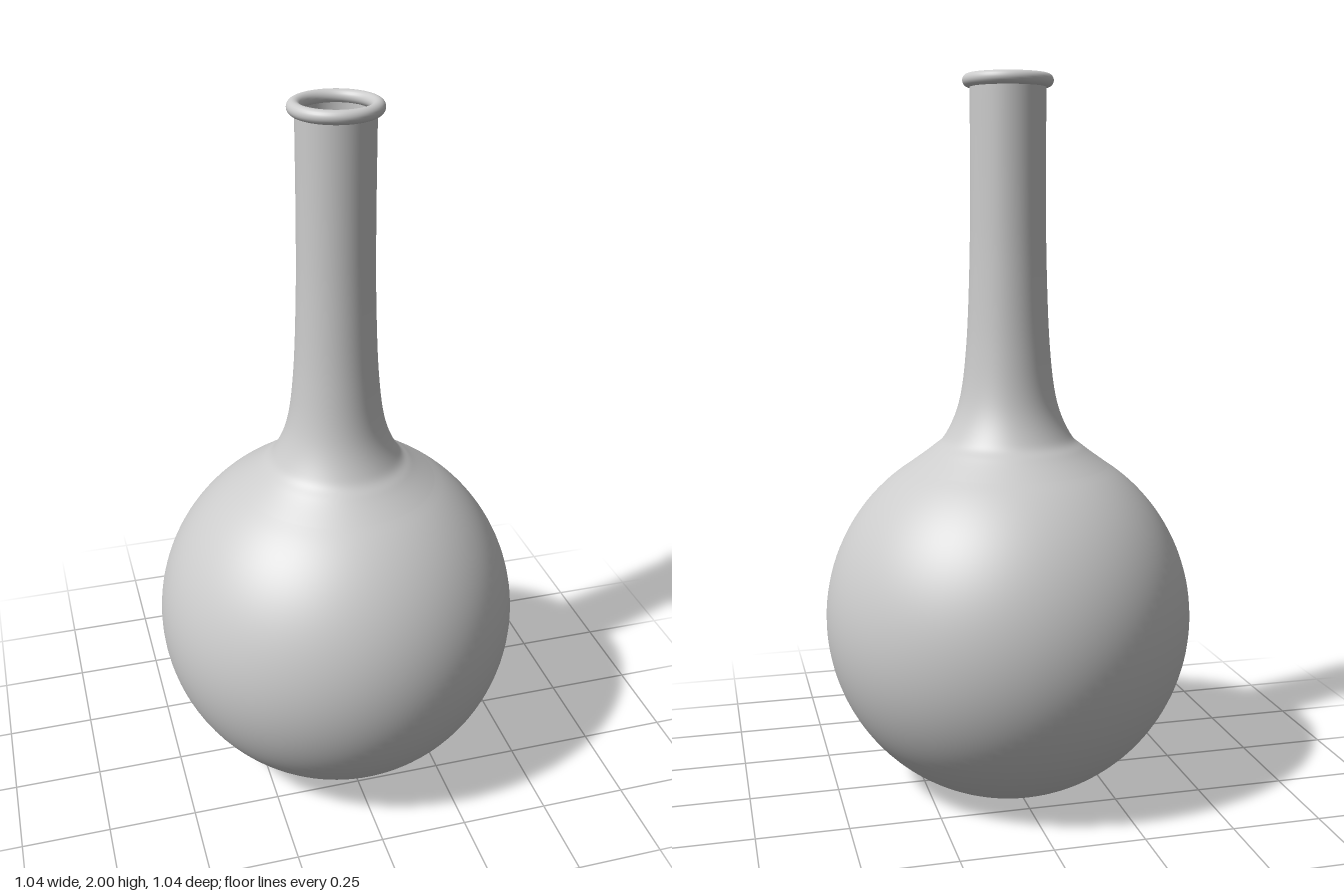
import * as THREE from 'three';

const SEGMENTS = 96;
const BULB_Y = 0.49;
const BULB_R = 0.52;
const WALL = 0.016;

const v = (x, y) => new THREE.Vector2(x, y);

// Round bulb: an arc from its cut bottom up to the shoulder
function bulbArc(radius, yStart, shoulderAngle, steps = 48) {
  const start = Math.asin((yStart - BULB_Y) / radius);
  return Array.from({ length: steps + 1 }, (_, i) => {
    const a = start + (shoulderAngle - start) * (i / steps);
    return v(radius * Math.cos(a), BULB_Y + radius * Math.sin(a));
  });
}

// Shoulder sweeping into the neck; inset moves the curve inwards for the inner wall
function neckCurve(from, inset) {
  const points = [[0.176, 1.015], [0.137, 1.11], [0.117, 1.26], [0.107, 1.48], [0.104, 1.7], [0.104, 1.97]];
  const curve = new THREE.SplineCurve([
    from,
    v(0.217 - inset * 0.6, 0.975 - inset * 0.7),
    ...points.map(([x, y]) => v(x - inset, y)),
  ]);
  return curve.getPoints(64).slice(1);
}

function wallProfile(inset) {
  const arc = bulbArc(BULB_R - inset, inset, THREE.MathUtils.degToRad(57));
  return [...arc, ...neckCurve(arc[arc.length - 1], inset)];
}

export function createModel() {
  const group = new THREE.Group();
  group.name = 'roundFlask';
  const material = new THREE.MeshStandardMaterial({ color: 0xcccccc, side: THREE.DoubleSide });

  const add = (name, geometry) => {
    const mesh = new THREE.Mesh(geometry, material);
    mesh.name = name;
    group.add(mesh);
    return mesh;
  };

  // Outer and inner walls of the bulb and neck
  const outer = wallProfile(0);
  const inner = wallProfile(WALL);
  add('outerWall', new THREE.LatheGeometry(outer, SEGMENTS));
  add('innerWall', new THREE.LatheGeometry(inner.slice().reverse(), SEGMENTS));

  // Flat foot and inner floor
  const foot = add('foot', new THREE.CircleGeometry(outer[0].x, SEGMENTS));
  foot.rotation.x = Math.PI / 2;
  const floor = add('innerFloor', new THREE.CircleGeometry(inner[0].x, SEGMENTS));
  floor.rotation.x = -Math.PI / 2;
  floor.position.y = WALL;

  // Rounded lip around the mouth
  const lip = new THREE.Path();
  lip.absarc(0.106, 1.982, 0.018, -Math.PI / 2, Math.PI * 1.5, false);
  add('lip', new THREE.LatheGeometry(lip.getPoints(12), SEGMENTS));

  return group;
}
